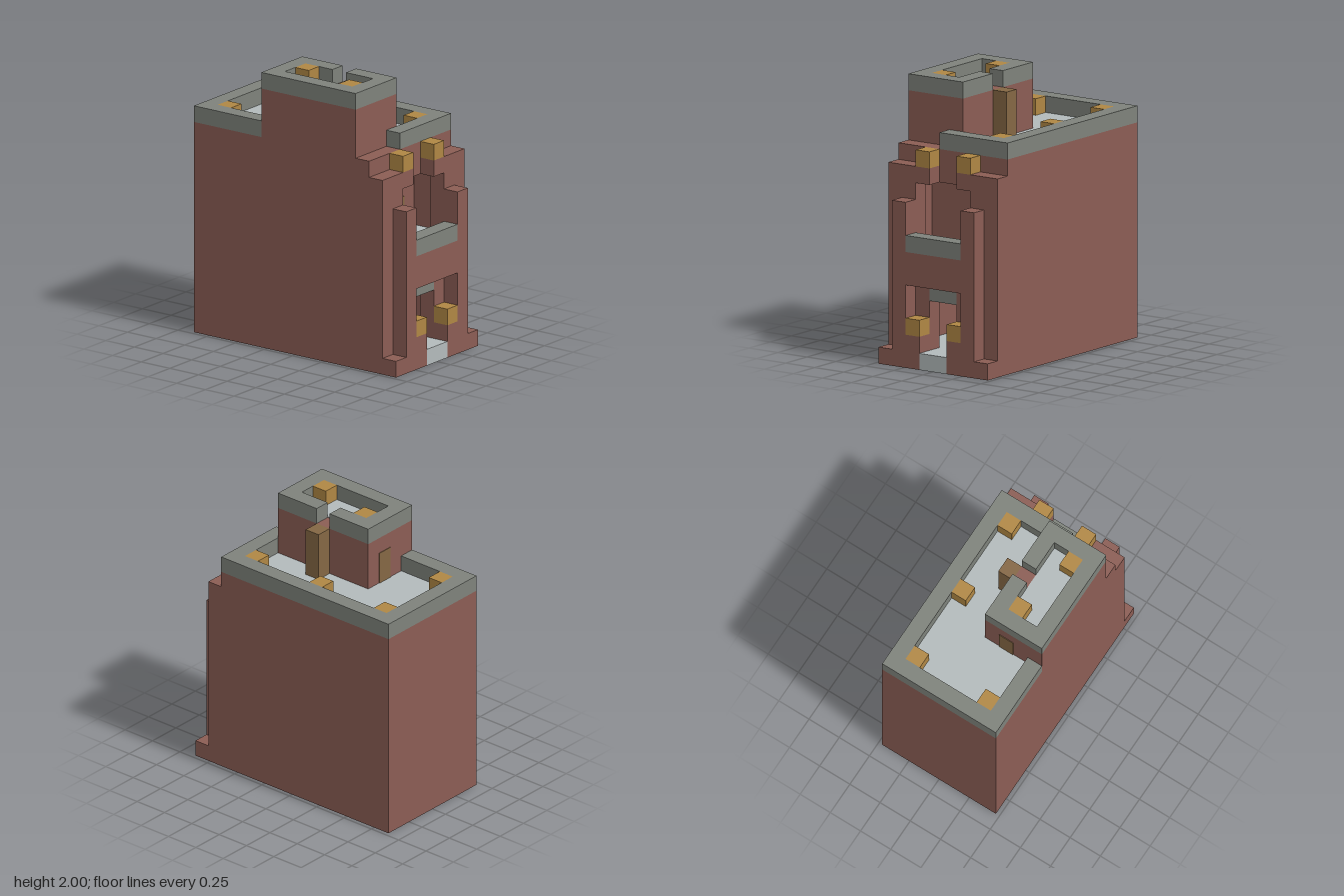
import * as THREE from 'three';

const U = 2 / 17; // one block

const material = (name, color) => {
  const m = new THREE.MeshStandardMaterial({ color });
  m.name = name;
  return m;
};

export function createModel() {
  const brick = material('brick', 0x8b5d54);
  const stone = material('darkStone', 0x7e827b);
  const pale = material('paleStone', 0xb3babb);
  const lamp = material('lampOrange', 0xb08744);
  const wood = material('doorBrown', 0x846744);

  const group = new THREE.Group();
  group.name = 'townHouse';

  // Box from block coordinates: x -4..4, y 0..17, z 0 (back)..15 (front)
  const box = (name, mat, x0, x1, y0, y1, z0, z1) => {
    const g = new THREE.BoxGeometry((x1 - x0) * U, (y1 - y0) * U, (z1 - z0) * U);
    const m = new THREE.Mesh(g, mat);
    m.name = name;
    m.position.set((x0 + x1) / 2 * U, (y0 + y1) / 2 * U, ((z0 + z1) / 2 - 7.5) * U);
    group.add(m);
  };
  // The same box on both sides of the middle
  const pair = (name, mat, x0, x1, ...rest) => {
    box(name + 'Left', mat, x0, x1, ...rest);
    box(name + 'Right', mat, -x1, -x0, ...rest);
  };

  // Main shell
  pair('sideWall', brick, 3, 4, 0, 13, 0, 13);
  box('backWall', brick, -3, 3, 0, 13, 0, 1);
  box('frontTopWall', brick, -3, 3, 11, 13, 12, 13);

  // Floors and inner walls
  box('groundFloor', pale, -3, 3, 0, 1, 1, 13);
  box('doorstep', pale, -1, 1, 0, 1, 13, 15);
  box('upperFloor', pale, -3, 3, 6, 7, 1, 13);
  box('roofFloor', pale, -3, 3, 12, 13, 1, 12);
  box('upperPartition', brick, -3, 3, 7, 12, 10, 11);
  box('innerStep', brick, -3, 3, 1, 2, 1, 3);
  box('innerDoor', wood, 1, 2, 7, 9, 11, 11.05);

  // Front wall with doorway and stepped window opening
  pair('frontWallLow', brick, 1, 4, 0, 5, 13, 14);
  box('frontWallMiddle', brick, -4, 4, 5, 7, 13, 14);
  pair('windowJamb', brick, 2, 4, 7, 11, 13, 14);
  pair('windowShoulder', brick, 1, 4, 11, 12, 13, 14);
  box('doorLintel', stone, -1, 1, 4, 5, 13, 14);

  // Projecting facade
  pair('facadeBase', brick, 1, 4, 0, 1, 14, 15);
  pair('pilaster', brick, 2, 3, 1, 10, 14, 15);
  pair('lampPlinth', brick, 1, 2, 1, 2, 14, 15);
  pair('doorLamp', lamp, 1, 2, 2, 3, 14, 15);
  box('facadePanel', brick, -2, 2, 5, 7, 14, 15);
  box('windowLedge', stone, -2, 2, 7, 8, 14, 15);
  pair('topLamp', lamp, 1, 2, 12, 13, 13, 14);

  // Roof parapet
  box('parapetBack', stone, -4, 4, 13, 14, 0, 1);
  box('parapetRight', stone, -4, -3, 13, 14, 1, 5);
  box('parapetLeft', stone, 3, 4, 13, 14, 1, 13);
  box('parapetFront', stone, -1, 3, 13, 14, 12, 13);
  for (const [x, z] of [[-3, 1], [2, 1], [2, 6], [2, 11]])
    box('roofLamp', lamp, x, x + 1, 13, 14, z, z + 1);

  // Stair tower with doors
  box('towerBody', brick, -4, 0, 13, 16, 5, 12);
  box('towerFloor', pale, -3, -1, 16, 16.04, 6, 11);
  box('towerParapetBack', stone, -4, 0, 16, 17, 5, 6);
  box('towerParapetFront', stone, -4, 0, 16, 17, 11, 12);
  box('towerParapetRight', stone, -4, -3, 16, 17, 6, 11);
  box('towerParapetLeftBack', stone, -1, 0, 16, 17, 6, 8);
  box('towerParapetLeftFront', stone, -1, 0, 16, 17, 9, 11);
  for (const [x, z] of [[-2, 6], [-3, 10]])
    box('towerLamp', lamp, x, x + 1, 16, 17, z, z + 1);
  box('towerSideDoor', wood, 0, 1, 13, 16, 8, 9);
  box('towerBackDoor', wood, -2, -1, 13, 15, 4.96, 5);

  return group;
}
